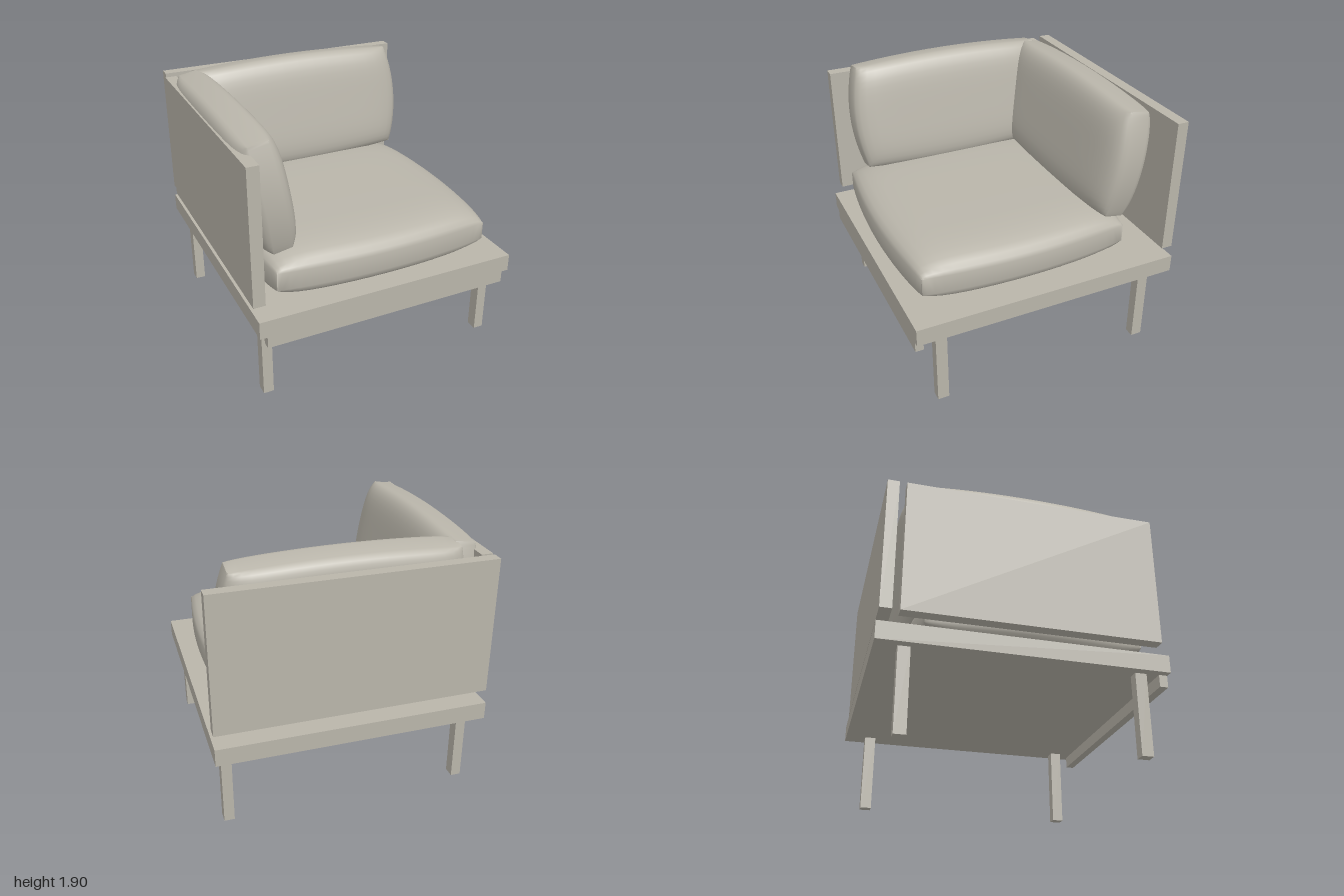
import * as THREE from 'three';
import { mergeVertices, toCreasedNormals } from 'three/addons/utils/BufferGeometryUtils.js';

// Pillow: bulging outline, full middle and a thin upright rim (x width, y height, z thickness)
function pillowGeometry(halfW, halfH, halfT, powerX, powerY, rim) {
  const bow = 0.078;
  const geo = new THREE.BoxGeometry(2, 2, 2, 20, 20, 1);
  geo.deleteAttribute('normal');
  geo.deleteAttribute('uv');
  const pos = geo.attributes.position;
  const swell = (t, p) => Math.sqrt(Math.max(0, 1 - Math.pow(Math.abs(t), p)));
  for (let i = 0; i < pos.count; i++) {
    const u = Math.sin(pos.getX(i) * Math.PI / 2);
    const v = Math.sin(pos.getY(i) * Math.PI / 2);
    const thick = rim + (1 - rim) * swell(u, powerX) * swell(v, powerY);
    pos.setXYZ(i,
      u * halfW * (1 - bow * v * v),
      v * halfH * (1 - bow * u * u),
      pos.getZ(i) * halfT * thick);
  }
  return toCreasedNormals(mergeVertices(geo), 0.9);
}

export function createModel() {
  const model = new THREE.Group();
  model.name = 'cornerSofaSeat';
  const material = new THREE.MeshStandardMaterial({ color: 0xb9b5aa });
  material.name = 'warmGrey';

  const add = (name, geometry) => {
    const mesh = new THREE.Mesh(geometry, material);
    mesh.name = name;
    model.add(mesh);
    return mesh;
  };
  // Box given by its minimum and maximum on each axis
  const slab = (name, [x0, x1], [y0, y1], [z0, z1]) => {
    const mesh = add(name, new THREE.BoxGeometry(x1 - x0, y1 - y0, z1 - z0));
    mesh.position.set((x0 + x1) / 2, (y0 + y1) / 2, (z0 + z1) / 2);
  };

  // Base frame
  slab('platform', [-0.968, 0.98], [0.587, 0.715], [-0.998, 1]);
  slab('frontRail', [-0.915, 0.93], [0.5, 0.587], [0.938, 0.998]);
  for (const [side, x] of [['Right', [-0.907, -0.833]], ['Left', [0.847, 0.921]]]) {
    slab('front' + side + 'Leg', x, [0, 0.587], [0.767, 0.85]);
    slab('back' + side + 'Leg', x, [0, 0.587], [-0.845, -0.762]);
  }

  // Upright panels
  slab('backPanel', [-0.968, 0.98], [0.81, 1.803], [-0.983, -0.9]);
  slab('sidePanel', [-0.985, -0.9], [0.8, 1.79], [-0.85, 0.948]);

  // Cushions
  const seat = add('seatCushion', pillowGeometry(0.866, 0.84, 0.19, 6, 6, 0.34));
  seat.rotation.x = -Math.PI / 2;
  seat.position.set(0.005, 0.905, 0.11);

  const back = add('backCushion', pillowGeometry(0.858, 0.43, 0.162, 8, 5, 0.42));
  back.rotation.x = -0.18;
  back.position.set(0.007, 1.46, -0.648);

  const side = add('sideCushion', pillowGeometry(0.815, 0.43, 0.162, 8, 5, 0.42));
  side.rotation.set(-0.18, Math.PI / 2, 0, 'YXZ');
  side.position.set(-0.772, 1.455, 0.026);

  return model;
}
